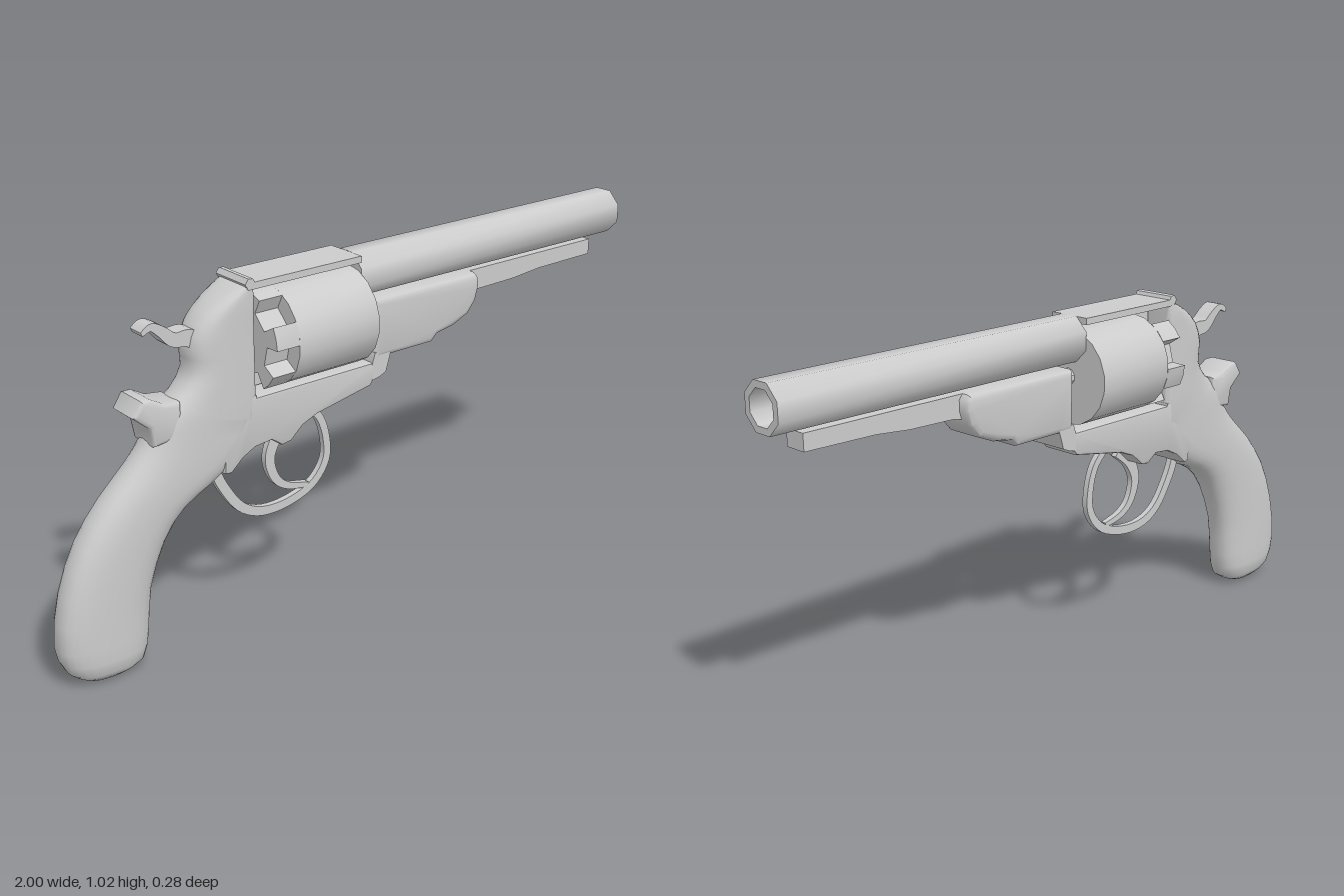
import * as THREE from 'three';
import { toCreasedNormals } from 'three/addons/utils/BufferGeometryUtils.js';

const material = new THREE.MeshStandardMaterial({ color: 0xcccccc, side: THREE.DoubleSide });
const MID_Z = -0.004; // side-to-side centre of the frame and barrel

const vec = ([x, y]) => new THREE.Vector2(x, y);

function part(name, geometry, crease = 0.6) {
  const mesh = new THREE.Mesh(toCreasedNormals(geometry, crease), material);
  mesh.name = name;
  return mesh;
}

// Side outline extruded symmetrically across z, total width included bevel
function slab(points, width, bevel = 0, z = MID_Z) {
  const geometry = new THREE.ExtrudeGeometry(new THREE.Shape(points.map(vec)), {
    depth: width - 2 * bevel, bevelEnabled: bevel > 0, bevelThickness: bevel,
    bevelSize: bevel, bevelOffset: -bevel, bevelSegments: 2,
  });
  return geometry.translate(0, 0, z - width / 2 + bevel);
}

// Flat strip that follows a curve; its thickness runs from t0 to t1
function strip(points, t0, t1, width, steps = 24) {
  const curve = new THREE.SplineCurve(points.map(vec));
  const upper = [], lower = [];
  for (let i = 0; i <= steps; i++) {
    const p = curve.getPoint(i / steps), d = curve.getTangent(i / steps);
    const h = (t0 + (t1 - t0) * i / steps) / 2;
    upper.push([p.x - d.y * h, p.y + d.x * h]);
    lower.unshift([p.x + d.y * h, p.y - d.x * h]);
  }
  return slab([...upper, ...lower], width);
}

// Lathe around the x axis; profile entries are [radius, x]
function turned(profile, sides, y, z) {
  return new THREE.LatheGeometry(profile.map(vec), sides, Math.PI / sides)
    .rotateZ(-Math.PI / 2).translate(0, y, z);
}

// Grip and recoil shield: sections [backX, backY, frontX, frontY, halfWidth, front squareness]
function gripGeometry() {
  const sections = [
    [-0.93, 0.012, -0.81, 0.003, 0.036, 2.6],
    [-0.975, 0.045, -0.755, 0.03, 0.062, 2.6],
    [-1.0, 0.12, -0.735, 0.11, 0.066, 2.6],
    [-0.977, 0.27, -0.72, 0.23, 0.066, 2.6],
    [-0.92, 0.40, -0.67, 0.35, 0.066, 2.6],
    [-0.84, 0.50, -0.60, 0.43, 0.066, 2.8],
    [-0.76, 0.575, -0.52, 0.47, 0.066, 3],
    [-0.71, 0.635, -0.44, 0.54, 0.066, 5],
    [-0.68, 0.70, -0.395, 0.63, 0.066, 9],
    [-0.61, 0.745, -0.39, 0.71, 0.066, 12],
    [-0.57, 0.80, -0.39, 0.78, 0.066, 12],
    [-0.575, 0.86, -0.39, 0.85, 0.066, 12],
    [-0.55, 0.92, -0.39, 0.91, 0.066, 12],
    [-0.49, 0.97, -0.39, 0.96, 0.066, 12],
    [-0.42, 1.003, -0.39, 1.003, 0.062, 12],
  ];
  const back = new THREE.CatmullRomCurve3(sections.map(s => new THREE.Vector3(s[0], s[1], s[4])));
  const front = new THREE.CatmullRomCurve3(sections.map(s => new THREE.Vector3(s[2], s[3], s[5])));
  const rings = (sections.length - 1) * 2, around = 28;
  const positions = [], index = [];
  const power = (v, n) => Math.sign(v) * Math.pow(Math.abs(v), 2 / n);
  for (let i = 0; i <= rings; i++) {
    const b = back.getPoint(i / rings), f = front.getPoint(i / rings);
    for (let j = 0; j < around; j++) {
      const a = j / around * Math.PI * 2, c = Math.cos(a), s = Math.sin(a);
      const n = c > 1e-6 ? f.z : 2.6;
      const u = (1 + power(c, n)) / 2;
      positions.push(b.x + (f.x - b.x) * u, b.y + (f.y - b.y) * u,
        MID_Z + Math.min(b.z, 0.066) * power(s, n));
      if (i < rings) {
        const p = i * around + j, q = i * around + (j + 1) % around;
        index.push(p, p + around, q, q, p + around, q + around);
      }
    }
  }
  // End caps
  for (const i of [0, rings]) {
    const centre = positions.length / 3;
    const b = back.getPoint(i / rings), f = front.getPoint(i / rings);
    positions.push((b.x + f.x) / 2, (b.y + f.y) / 2 - (i ? 0 : 0.004), MID_Z);
    for (let j = 0; j < around; j++) {
      const p = i * around + j, q = i * around + (j + 1) % around;
      index.push(centre, i ? q : p, i ? p : q);
    }
  }
  const geometry = new THREE.BufferGeometry();
  geometry.setAttribute('position', new THREE.Float32BufferAttribute(positions, 3));
  geometry.setIndex(index);
  return geometry;
}

// Rear of the cylinder, cut by six slots
function ratchetGeometry() {
  const points = [], rad = Math.PI / 180;
  for (let k = 0; k < 6; k++) {
    const slot = k * 60 - 15;
    for (const [offset, r] of [[-17, 0.14], [-17, 0.095], [17, 0.095], [17, 0.14], [30, 0.14]]) {
      const a = (slot + offset) * rad;
      points.push([-r * Math.cos(a), r * Math.sin(a)]);
    }
  }
  return slab(points, 0.075, 0, 0).rotateY(Math.PI / 2).translate(-0.3425, 0.836, 0);
}

export function createModel() {
  const group = new THREE.Group();
  group.name = 'revolver';

  // Frame
  group.add(part('gripAndRecoilShield', gripGeometry(), 0.8));
  group.add(part('lowerFrame', slab([
    [-0.5, 0.70], [-0.5, 0.50], [-0.48, 0.495], [-0.44, 0.53], [-0.40, 0.55], [-0.345, 0.555],
    [-0.31, 0.53], [-0.28, 0.535], [-0.24, 0.57], [-0.19, 0.59], [-0.08, 0.61], [0, 0.625],
    [0.015, 0.645], [0.015, 0.692], [-0.39, 0.692], [-0.39, 0.70],
  ], 0.13, 0.008)));
  group.add(part('backTang', slab([
    [-0.62, 0.64], [-0.62, 0.735], [-0.67, 0.742], [-0.71, 0.765], [-0.735, 0.765],
    [-0.762, 0.725], [-0.715, 0.685], [-0.705, 0.63],
  ], 0.11, 0.012), 0.8));
  group.add(part('topStrap', slab([
    [-0.41, 0.993], [-0.035, 0.993], [-0.035, 1.012], [-0.39, 1.012], [-0.395, 1.022],
    [-0.41, 1.024], [-0.42, 1.01],
  ], 0.132)));

  // Barrel with open bore
  group.add(part('barrel', turned([
    [0, -0.035], [0.07, -0.035], [0.07, 1], [0.05, 1], [0.05, 0.6], [0, 0.6],
  ], 8, 0.948, MID_Z), 0.9));

  // Cylinder
  group.add(part('cylinder', turned([[0, -0.306], [0.14, -0.306], [0.14, -0.035], [0, -0.035]], 18, 0.836, 0)));
  group.add(part('cylinderRatchet', ratchetGeometry()));
  group.add(part('cylinderPin', turned([[0, -0.40], [0.025, -0.40], [0.025, 0.03], [0, 0.03]], 10, 0.836, 0)));

  // Fore-end and loading lever below the barrel
  group.add(part('foreEnd', slab([
    [0.015, 0.875], [0.015, 0.70], [0.07, 0.70], [0.23, 0.70], [0.25, 0.72], [0.31, 0.73],
    [0.37, 0.755], [0.40, 0.79], [0.412, 0.83], [0.412, 0.86], [0.40, 0.875],
  ], 0.136, 0.018), 0.8));
  group.add(part('foreEndFoot', slab([
    [0.005, 0.64], [0.03, 0.645], [0.055, 0.655], [0.072, 0.71], [0.015, 0.72], [0.005, 0.69],
  ], 0.13)));
  group.add(part('loadingLever', slab([
    [0.38, 0.80], [0.43, 0.812], [0.58, 0.815], [0.69, 0.825], [0.91, 0.828], [0.91, 0.875], [0.38, 0.875],
  ], 0.066)));

  // Hammer
  group.add(part('hammer', strip([
    [-0.53, 0.865], [-0.57, 0.89], [-0.615, 0.895], [-0.65, 0.925], [-0.68, 0.943], [-0.708, 0.93],
  ], 0.055, 0.012, 0.05)));

  // Trigger and its guard
  group.add(part('triggerGuard', strip([
    [-0.50, 0.50], [-0.475, 0.44], [-0.42, 0.36], [-0.35, 0.322], [-0.26, 0.32], [-0.17, 0.35],
    [-0.12, 0.41], [-0.117, 0.48], [-0.14, 0.55], [-0.19, 0.60],
  ], 0.03, 0.022, 0.018, 40)));
  group.add(part('trigger', strip([
    [-0.24, 0.575], [-0.29, 0.53], [-0.315, 0.47], [-0.295, 0.405], [-0.25, 0.37], [-0.185, 0.355],
  ], 0.045, 0.014, 0.018)));

  return group;
}
